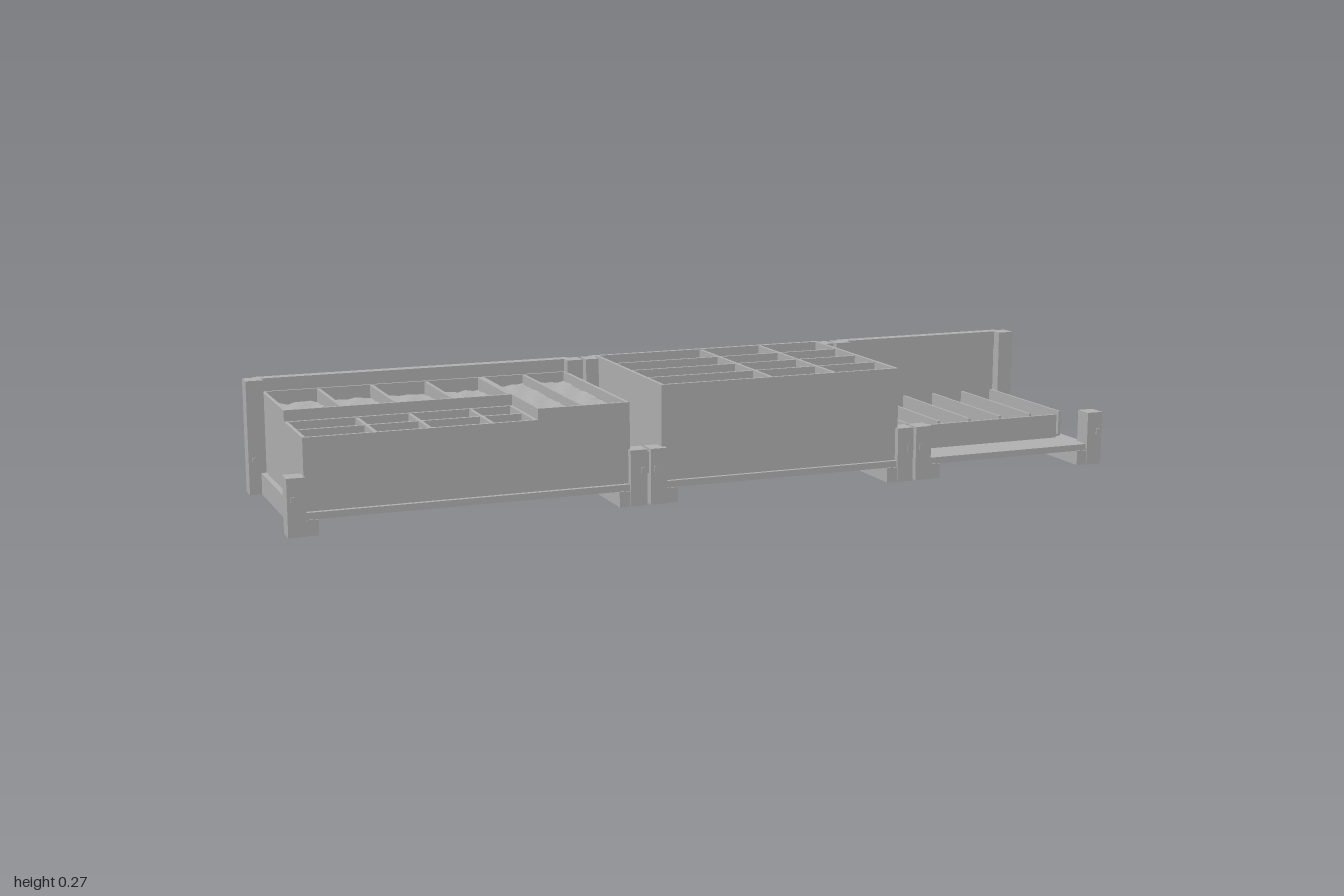
import * as THREE from 'three';

const grey = new THREE.MeshStandardMaterial({ color: 0xb2b2b2 });
grey.name = 'plain grey';

// Box given by its limits on each axis
function block(parent, name, x0, x1, y0, y1, z0, z1) {
  const mesh = new THREE.Mesh(new THREE.BoxGeometry(x1 - x0, y1 - y0, z1 - z0), grey);
  mesh.position.set((x0 + x1) / 2, (y0 + y1) / 2, (z0 + z1) / 2);
  mesh.name = name;
  parent.add(mesh);
  return mesh;
}

// Lumpy loose contents of a compartment
function filling(parent, x0, x1, y, z0, z1) {
  const w = x1 - x0, d = z1 - z0;
  const geo = new THREE.PlaneGeometry(w, d, Math.ceil(w / 0.018), Math.ceil(d / 0.018));
  geo.rotateX(-Math.PI / 2).translate((x0 + x1) / 2, y, (z0 + z1) / 2);
  const p = geo.attributes.position;
  for (let i = 0; i < p.count; i++) {
    const x = p.getX(i), z = p.getZ(i);
    p.setY(i, y + 0.0015 * (Math.sin(x * 97 + z * 41) + Math.sin(z * 113 - x * 59) + Math.sin(x * 171 + 2)));
  }
  geo.computeVertexNormals();
  const mesh = new THREE.Mesh(geo, grey);
  mesh.name = 'filling';
  parent.add(mesh);
}

const T = 0.008; // bin wall thickness

// Open bin with four walls, a lumpy filling and dividers at the given x and z
function bin(parent, name, x0, x1, top, z0, z1, fill, xs = [], zs = []) {
  const g = new THREE.Group();
  g.name = name;
  parent.add(g);
  block(g, 'leftWall', x1 - T, x1, 0.05, top, z0, z1);
  block(g, 'rightWall', x0, x0 + T, 0.05, top, z0, z1);
  block(g, 'frontWall', x0 + T, x1 - T, 0.05, top, z1 - T, z1);
  block(g, 'backWall', x0 + T, x1 - T, 0.05, top, z0, z0 + T);
  for (const x of xs) block(g, 'divider', x - T / 2, x + T / 2, 0.05, top - 0.001, z0 + T, z1 - T);
  for (const z of zs) block(g, 'crossDivider', x0 + T, x1 - T, 0.05, top - 0.002, z - T / 2, z + T / 2);
  filling(g, x0 + T / 2, x1 - T / 2, fill, z0 + T / 2, z1 - T / 2);
}

// Pallet frame with posts, runners, feet and a tall back panel
function frame(parent, name, x0, x1) {
  const g = new THREE.Group();
  g.name = name;
  parent.add(g);
  block(g, 'floor', x0 + 0.03, x1 - 0.03, 0.035, 0.05, -0.225, 0.235);
  for (const s of [1, -1]) {
    // Limits measured inward from one end of the frame
    const end = s > 0 ? x0 : x1;
    const part = (n, a, b, ...r) =>
      block(g, n, Math.min(end + s * a, end + s * b), Math.max(end + s * a, end + s * b), ...r);
    part('runner', 0.028, 0.066, 0, 0.05, -0.23, 0.234);
    part('frontFoot', 0, 0.066, 0, 0.035, 0.196, 0.238);
    part('backFoot', 0, 0.066, 0, 0.035, -0.235, -0.192);
    part('frontPost', 0, 0.04, 0, 0.128, 0.196, 0.24);
    part('backPost', 0, 0.04, 0, 0.265, -0.235, -0.192);
    part('frontPin', 0.008, 0.016, 0.073, 0.087, 0.24, 0.243);
    part('backPin', 0.008, 0.016, 0.073, 0.087, -0.192, -0.187);
  }
  // Back panel with overhanging top rail and raised lower slats
  block(g, 'backPanel', x0 + 0.035, x1 - 0.035, 0.035, 0.262, -0.228, -0.219);
  block(g, 'topRail', x0 + 0.025, x1 - 0.025, 0.228, 0.265, -0.245, -0.217);
  const w = x1 - x0;
  block(g, 'lowerSlat', x0 + 0.04, x0 + w * 0.33, 0.04, 0.085, -0.231, -0.226);
  block(g, 'lowerSlat', x0 + w * 0.335, x0 + w * 0.665, 0.04, 0.075, -0.231, -0.226);
  block(g, 'lowerSlat', x0 + w * 0.67, x1 - 0.04, 0.04, 0.085, -0.231, -0.226);
}

export function createModel() {
  const model = new THREE.Group();
  model.name = 'storageTrays';

  frame(model, 'wideFrame', -1, -0.19);
  frame(model, 'middleFrame', -0.182, 0.48);
  frame(model, 'smallFrame', 0.488, 1);

  // Ties between neighbouring frames
  for (const x of [-0.186, 0.484]) {
    for (const s of [1, -1]) {
      block(model, 'tie', x - 0.028, x + 0.028, 0.002, 0.035, s * 0.158 - 0.026, s * 0.158 + 0.026);
      block(model, 'postClip', x - 0.008, x + 0.008, 0.07, 0.12, s * 0.215 - 0.012, s * 0.215 + 0.012);
    }
  }

  // Wide frame: tall bins at the back and side, lower bins at the front
  bin(model, 'backBin', -0.96, -0.44, 0.235, -0.218, 0.034, 0.205, [-0.83, -0.705, -0.575]);
  bin(model, 'frontBin', -0.96, -0.44, 0.21, 0.034, 0.224, 0.165, [-0.8, -0.68, -0.54], [0.125]);
  bin(model, 'sideBin', -0.44, -0.226, 0.235, -0.218, 0.224, 0.212, [-0.333]);

  // Middle frame: one large divided bin
  bin(model, 'largeBin', -0.15, 0.446, 0.269, -0.218, 0.225, 0.24, [0.125, 0.285], [-0.1, 0.008, 0.113]);

  // Small frame: low rack of upright dividers with a separate front board
  const rack = new THREE.Group();
  rack.name = 'rack';
  model.add(rack);
  block(rack, 'rackBase', 0.525, 0.957, 0.05, 0.056, -0.218, 0.122);
  for (let i = 0; i < 6; i++) {
    const x = 0.528 + i * 0.0852;
    block(rack, 'rackDivider', x - 0.003, x + 0.003, 0.05, 0.112, -0.218, 0.122);
  }
  block(rack, 'frontBoard', 0.545, 0.935, 0.05, 0.108, 0.131, 0.138);

  return model;
}
